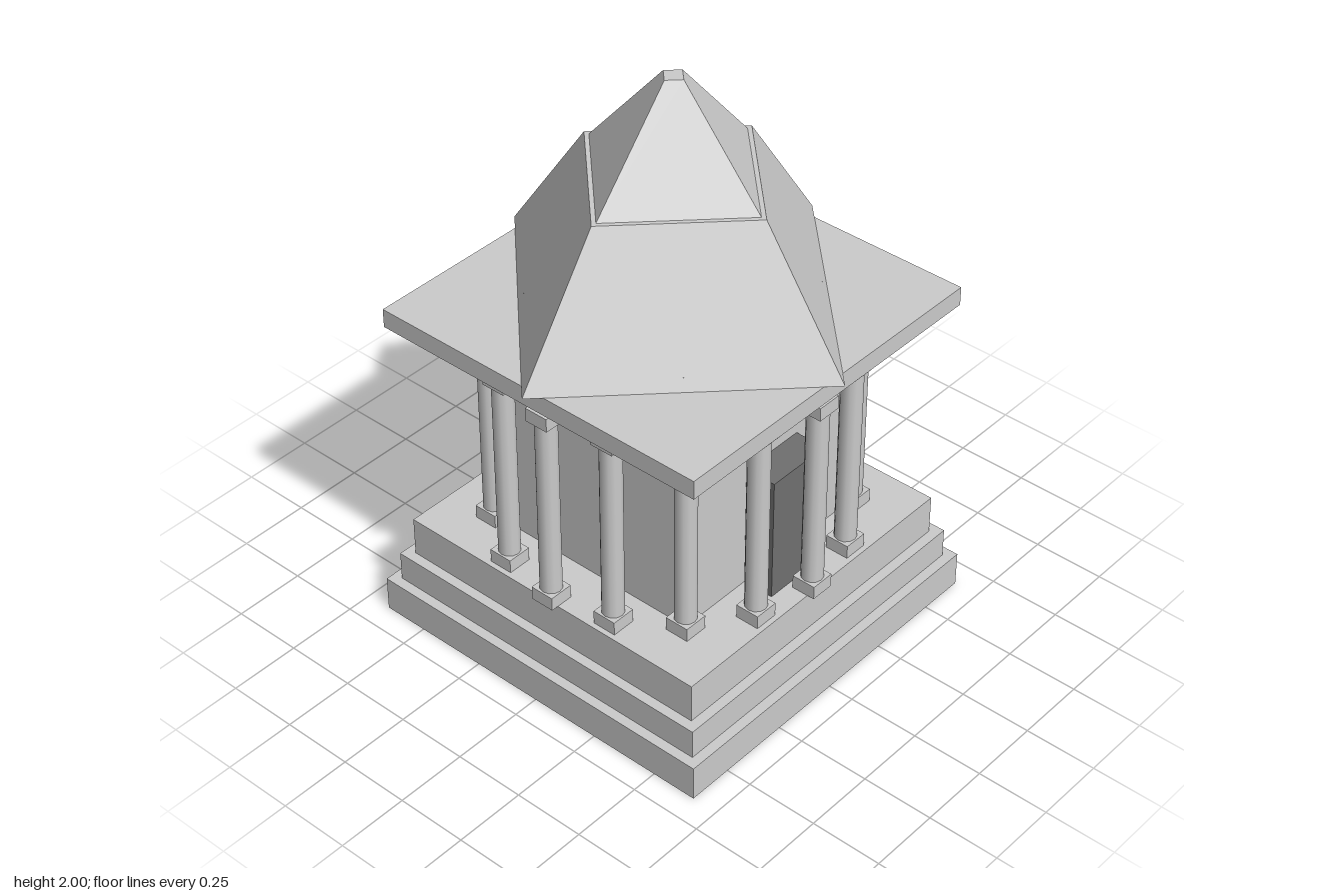
import * as THREE from 'three';

const stone = new THREE.MeshStandardMaterial({ color: 0xcccccc });
const stoneFlat = new THREE.MeshStandardMaterial({ color: 0xcccccc, flatShading: true });
const dark = new THREE.MeshStandardMaterial({ color: 0x707070 });

export function createModel() {
  const model = new THREE.Group();
  model.name = 'temple';

  const add = (parent, name, geometry, material, x, y, z) => {
    const mesh = new THREE.Mesh(geometry, material);
    mesh.name = name;
    mesh.position.set(x, y, z);
    parent.add(mesh);
    return mesh;
  };
  // Square slab given by half width and bottom and top heights
  const slab = (name, half, y0, y1) =>
    add(model, name, new THREE.BoxGeometry(half * 2, y1 - y0, half * 2), stone, 0, (y0 + y1) / 2, 0);
  // Four-sided tapering roof with its corners on the x and z axes
  const pyramid = (name, rTop, rBottom, y0, y1) =>
    add(model, name, new THREE.CylinderGeometry(rTop, rBottom, y1 - y0, 4), stoneFlat, 0, (y0 + y1) / 2, 0);

  // Stepped base
  slab('lowerStep', 0.66, 0, 0.125);
  slab('middleStep', 0.625, 0.125, 0.23);
  slab('upperStep', 0.59, 0.23, 0.37);

  // Inner chamber and its projecting door
  slab('chamber', 0.4, 0.37, 1.03);
  add(model, 'door', new THREE.BoxGeometry(0.12, 0.45, 0.24), dark, 0.45, 0.595, 0);

  // Ring of columns with square bases and capitals kept parallel to the steps
  const block = new THREE.BoxGeometry(0.085, 0.048, 0.085);
  const shaft = new THREE.CylinderGeometry(0.037, 0.037, 0.66, 12);
  const count = 16, ring = 0.573;
  for (let i = 0; i < count; i++) {
    const a = (i / count) * Math.PI * 2;
    const column = new THREE.Group();
    column.name = 'column';
    column.position.set(Math.cos(a) * ring, 0, Math.sin(a) * ring);
    add(column, 'columnBase', block, stone, 0, 0.394, 0);
    add(column, 'columnShaft', shaft, stone, 0, 0.743, 0);
    add(column, 'columnCapital', block, stone, 0, 1.094, 0);
    model.add(column);
  }

  // Entablature, attic block and two-stage roof
  slab('entablature', 0.625, 1.138, 1.204);
  slab('atticBlock', 0.322, 1.204, 1.245);
  pyramid('lowerRoof', 0.36, 0.67, 1.205, 1.655);
  pyramid('upperRoof', 0.04, 0.34, 1.655, 2);

  return model;
}
